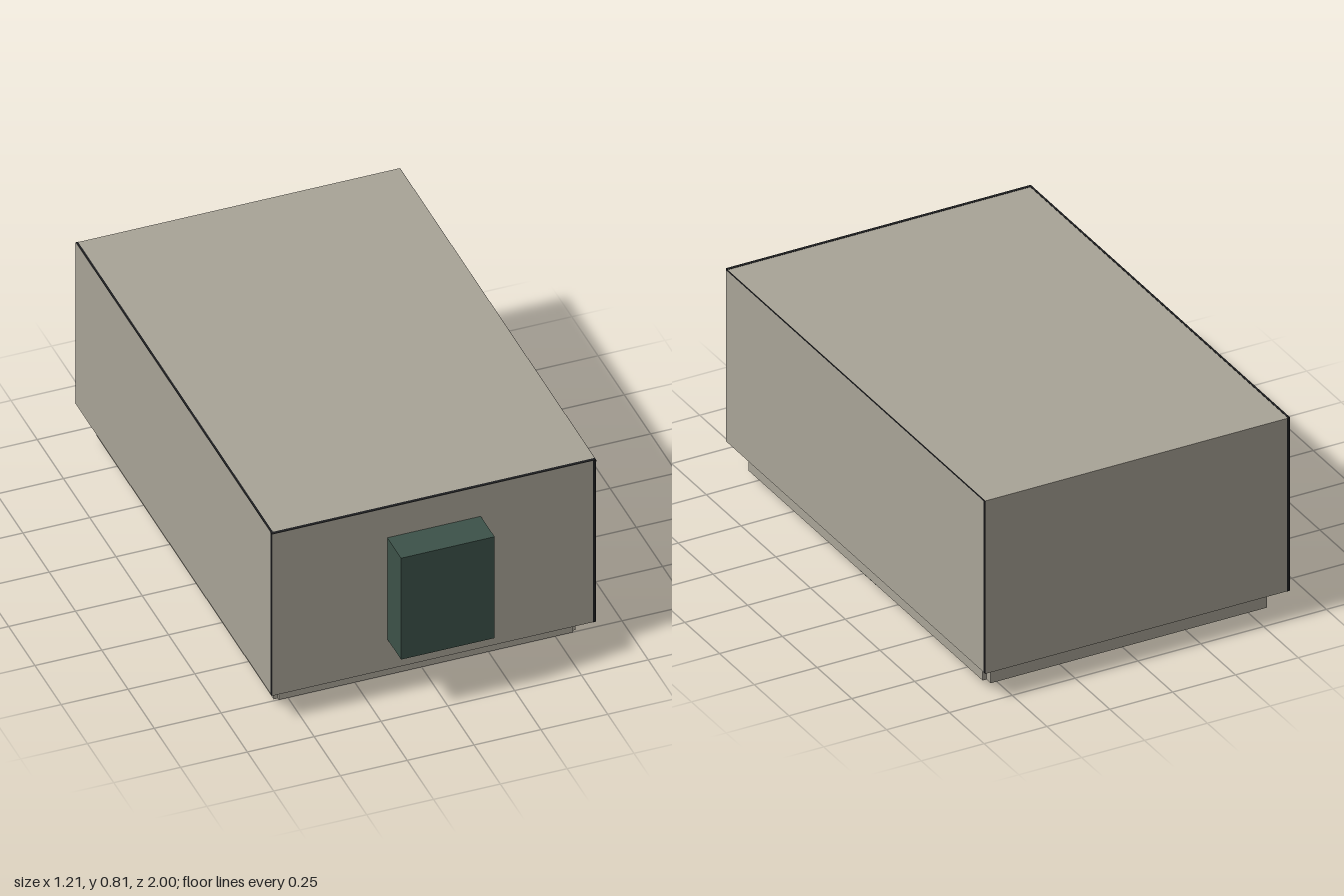
import * as THREE from 'three';

export function createModel() {
  const model = new THREE.Group();
  const casing = new THREE.MeshStandardMaterial({ name: 'casing beige', color: 0xa9a497 });
  const green = new THREE.MeshStandardMaterial({ name: 'dark green', color: 0x3c5249 });
  const black = new THREE.MeshStandardMaterial({ name: 'seam black', color: 0x1d1e20 });

  // Box given by its extents along each axis
  function box(name, material, [x0, x1], [y0, y1], [z0, z1]) {
    const mesh = new THREE.Mesh(new THREE.BoxGeometry(x1 - x0, y1 - y0, z1 - z0), material);
    mesh.position.set((x0 + x1) / 2, (y0 + y1) / 2, (z0 + z1) / 2);
    mesh.name = name;
    model.add(mesh);
    return mesh;
  }

  // Main housing
  const W = 0.606, Y0 = 0.115, Y1 = 0.808, ZB = -0.999, ZF = 0.869, e = 0.001, s = 0.012;
  box('housing', casing, [-W, W], [Y0, Y1], [ZB, ZF]);

  // Dark panel ends, one at each upright corner, turning round the housing
  box('frontSeam', black, [W - s, W], [Y0, Y1], [ZF, ZF + e]);
  box('rightSeam', black, [W, W + e], [Y0, Y1], [ZB, ZB + s]);
  box('backSeam', black, [-W, -W + s], [Y0, Y1], [ZB - e, ZB]);
  box('leftSeam', black, [-W - e, -W], [Y0, Y1], [ZF - s, ZF]);
  // Dark panel ends along the top
  box('topFrontSeam', black, [-W, W], [Y1, Y1 + e], [ZF - s, ZF]);
  box('topLeftSeam', black, [-W, -W + 0.008], [Y1, Y1 + e], [ZB, ZF]);
  box('topRightSeam', black, [W, W + e], [Y1 - 0.006, Y1], [ZB, ZF]);

  // Control box on the front
  box('controlBox', green, [-0.175, 0.175], [0.245, 0.68], [ZF, 1]);

  // Gasket between housing and lower frame
  box('gasket', black, [-0.54, 0.54], [0.09, Y0], [-0.9, 0.77]);

  // Lower frame with notched corners and four openings
  const outline = new THREE.Shape([
    [-0.55, 0.79], [0.55, 0.79], [0.55, 0.78], [0.565, 0.78],
    [0.565, -0.905], [0.55, -0.905], [0.55, -0.935], [-0.55, -0.935],
    [-0.55, -0.905], [-0.565, -0.905], [-0.565, 0.78], [-0.55, 0.78],
  ].map(([x, z]) => new THREE.Vector2(x, -z)));
  const midZ = -0.07, bar = 0.03;
  for (const [x0, x1] of [[-0.515, -bar], [bar, 0.515]]) {
    for (const [z0, z1] of [[-0.88, midZ - bar], [midZ + bar, 0.735]]) {
      outline.holes.push(new THREE.Path([[x0, z0], [x0, z1], [x1, z1], [x1, z0]]
        .map(([x, z]) => new THREE.Vector2(x, -z))));
    }
  }
  const frame = new THREE.Mesh(
    new THREE.ExtrudeGeometry(outline, { depth: 0.067, bevelEnabled: false }), casing);
  frame.rotation.x = -Math.PI / 2;
  frame.position.y = 0.03;
  frame.name = 'lowerFrame';
  model.add(frame);

  // Recessed filter panes seen through the openings
  box('filterPanes', green, [-0.53, 0.53], [0.046, 0.09], [-0.89, 0.755]);

  // Latch under the right-hand rail
  box('latch', green, [0.45, 0.54], [0, 0.047], [-0.11, 0.045]);

  return model;
}
